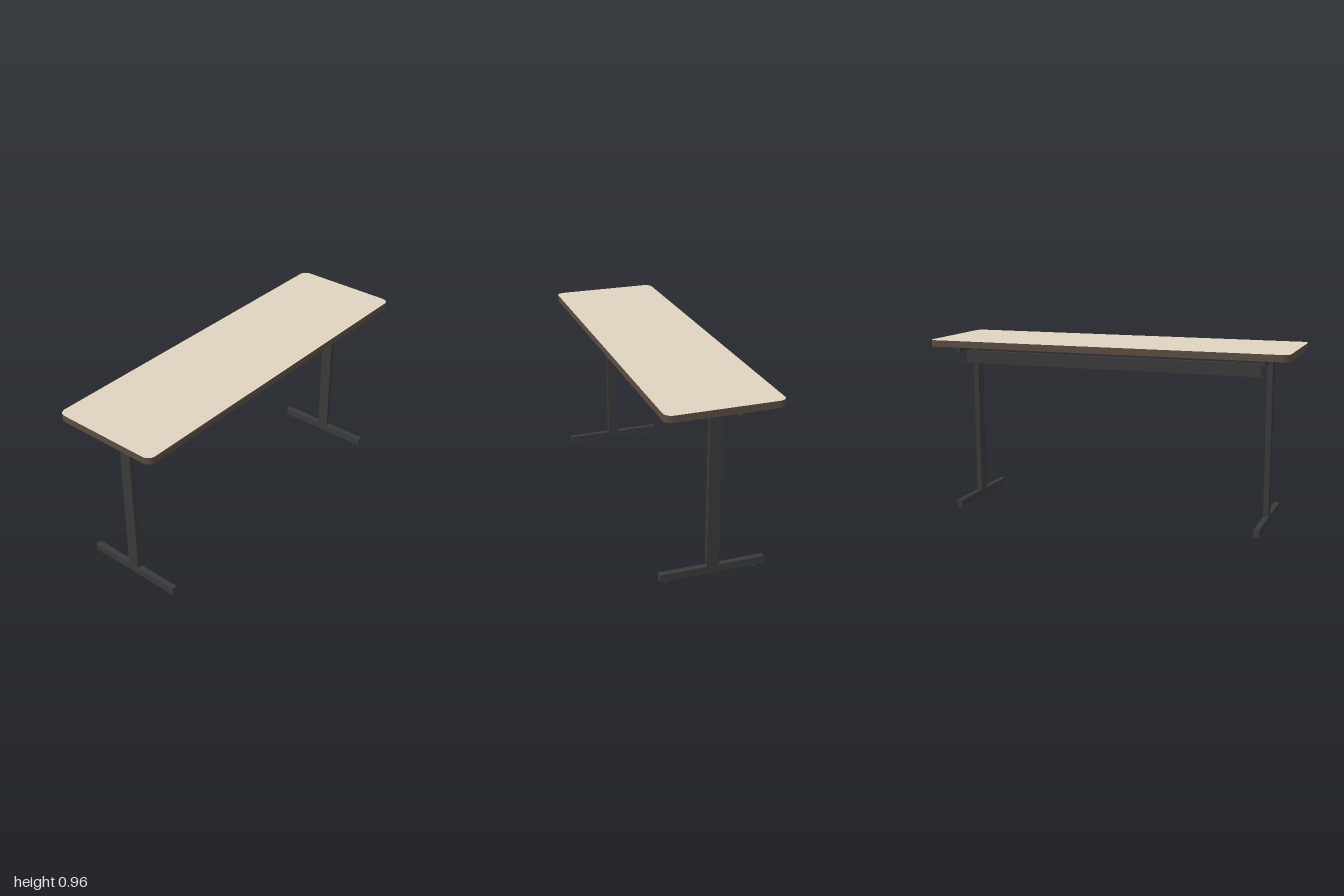
import * as THREE from 'three';

export function createModel() {
  const model = new THREE.Group();
  model.name = 'table';

  const mat = (name, color) => {
    const m = new THREE.MeshStandardMaterial({ color });
    m.name = name;
    return m;
  };
  const laminate = mat('beige laminate', 0xdfd2bf);
  const edging = mat('brown edging', 0x5b4c40);
  const backing = mat('tan backing', 0x9d8362);
  const steel = mat('charcoal steel', 0x3a3a3a);

  const add = (parent, name, geometry, material) => {
    const mesh = new THREE.Mesh(geometry, material);
    mesh.name = name;
    parent.add(mesh);
    return mesh;
  };
  // Box given by its centre x, z, its bottom and top heights and its width and depth
  const box = (parent, name, x, z, y0, y1, w, d) =>
    add(parent, name, new THREE.BoxGeometry(w, y1 - y0, d), steel).position.set(x, (y0 + y1) / 2, z);

  // Rounded table outline
  const W = 1, D = 0.302, R = 0.042;
  const outline = new THREE.Shape();
  outline.moveTo(-W + R, -D);
  outline.absarc(W - R, -D + R, R, -Math.PI / 2, 0);
  outline.absarc(W - R, D - R, R, 0, Math.PI / 2);
  outline.absarc(-W + R, D - R, R, Math.PI / 2, Math.PI);
  outline.absarc(-W + R, -D + R, R, Math.PI, Math.PI * 1.5);

  // Tabletop in two layers: the backing face below, the laminate face above
  const layer = (name, y0, y1, face) => {
    const g = new THREE.ExtrudeGeometry(outline, { depth: y1 - y0, bevelEnabled: false, curveSegments: 8 });
    g.rotateX(-Math.PI / 2).translate(0, y0, 0);
    add(model, name, g, [face, edging]);
  };
  layer('tabletopCore', 0.927, 0.958, backing);
  layer('tabletopSurface', 0.958, 0.963, laminate);

  // T-shaped legs, one at each end
  for (const side of [-1, 1]) {
    const leg = new THREE.Group();
    leg.name = side > 0 ? 'leftLeg' : 'rightLeg';
    leg.position.x = side * 0.854;
    model.add(leg);
    box(leg, 'topBracket', 0, 0, 0.895, 0.927, 0.029, 0.496);
    box(leg, 'post', 0, 0, 0.052, 0.895, 0.029, 0.064);
    box(leg, 'foot', 0, 0, 0.012, 0.052, 0.031, 0.548);
    for (const end of [-1, 1]) {
      box(leg, 'footEndCap', 0, end * 0.2765, 0.011, 0.053, 0.032, 0.005);
      const pad = new THREE.CylinderGeometry(0.014, 0.014, 0.012, 16);
      add(leg, 'levellingPad', pad, steel).position.set(0, 0.006, end * 0.236);
    }
  }

  // Stretcher beam under the rear of the top
  box(model, 'stretcherBeam', 0, -0.156, 0.828, 0.895, 1.676, 0.031);

  return model;
}
